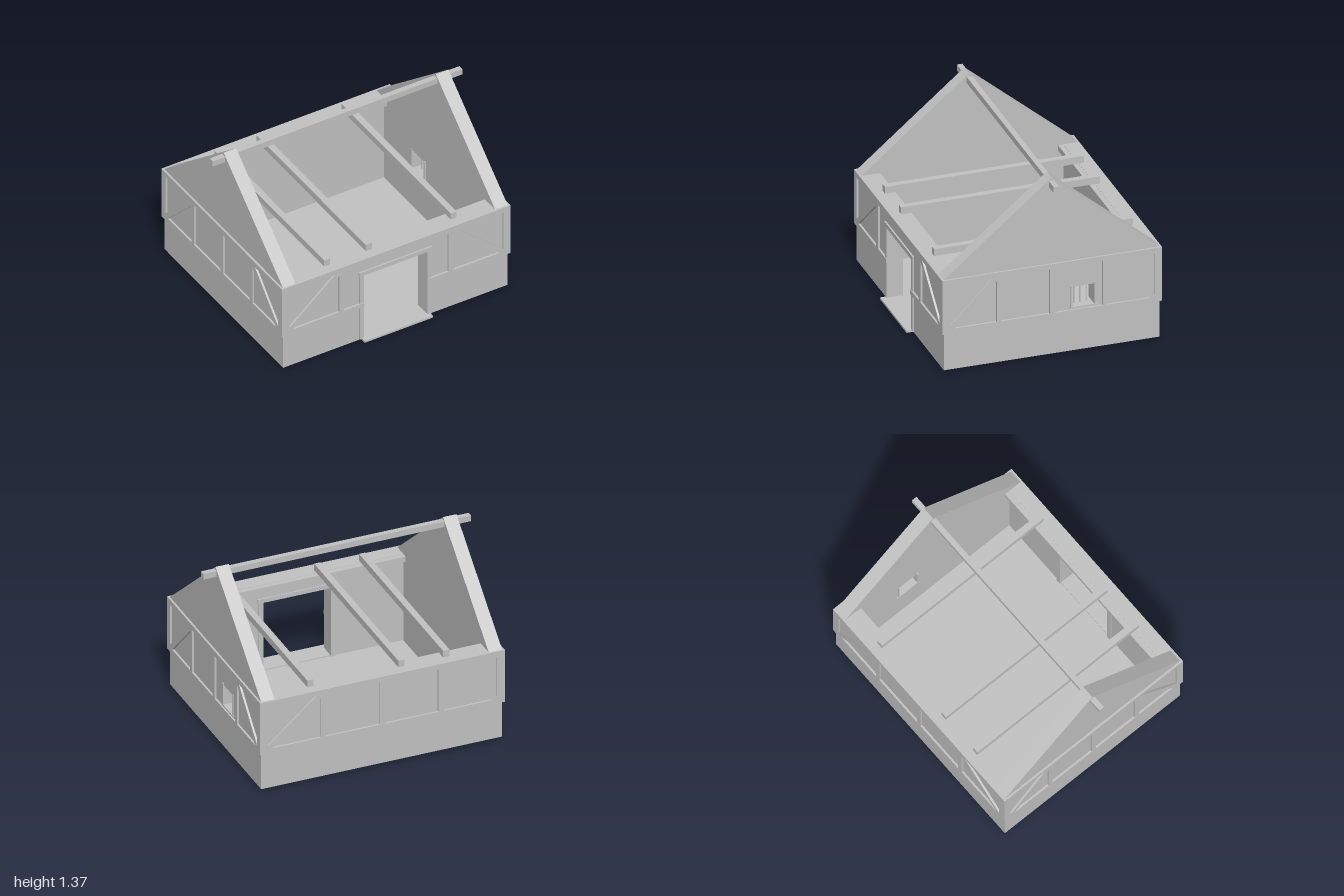
import * as THREE from 'three';

const stone = new THREE.MeshStandardMaterial({ color: 0xc2c2c2 });
stone.name = 'plain grey';

const HX = 0.9, HZ = 0.7825, T = 0.1; // half width, half depth, wall thickness
const EAVE = 0.715, APEX = 1.37, BASE = 0.025;
const LOW = 0.305, SILL = 0.34, HEAD = 0.675; // timber frame levels

const poly = (pts, C = THREE.Shape) => new C(pts.map(([x, y]) => new THREE.Vector2(x, y)));
const rect = (x0, x1, y0, y1) => [[x0, y0], [x1, y0], [x1, y1], [x0, y1]];

export function createModel() {
  const model = new THREE.Group();
  model.name = 'timberFramedHouse';
  const house = new THREE.Group();
  house.name = 'house';
  house.position.z = -0.0175;
  model.add(house);

  function box(name, x0, x1, y0, y1, z0, z1) {
    const m = new THREE.Mesh(new THREE.BoxGeometry(x1 - x0, y1 - y0, z1 - z0), stone);
    m.position.set((x0 + x1) / 2, (y0 + y1) / 2, (z0 + z1) / 2);
    m.name = name;
    house.add(m);
    return m;
  }
  // Extrude an outline outward, from a given distance, on the side turned by angle
  function slab(name, outline, holes, depth, dist, angle) {
    const s = poly(outline);
    holes.forEach((h) => s.holes.push(poly(h, THREE.Path)));
    const g = new THREE.ExtrudeGeometry(s, { depth, bevelEnabled: false });
    g.translate(0, 0, dist);
    g.rotateY(angle);
    const m = new THREE.Mesh(g, stone);
    m.name = name;
    house.add(m);
  }

  // Floor slab
  box('floor', -0.8, 0.8, 0, 0.032, -0.6875, 0.6875);

  // Long walls, with the doorway in front
  slab('frontWall', [[-0.8, BASE], [-0.255, BASE], [-0.255, 0.575], [0.25, 0.575], [0.25, BASE],
    [0.8, BASE], [0.8, EAVE], [-0.8, EAVE]], [], T, HZ - T, 0);
  slab('backWall', rect(-0.8, 0.8, BASE, EAVE), [], T, HZ - T, Math.PI);

  // Gable walls, with a window in the left one
  const gable = [[-HZ, BASE], [HZ, BASE], [HZ, EAVE], [0, APEX], [-HZ, EAVE]];
  const win = [0.1475, 0.3075, 0.36, 0.51];
  slab('leftGable', gable, [rect(...win)], T, HX - T, Math.PI / 2);
  slab('rightGable', gable, [], T, HX - T, -Math.PI / 2);

  // Frame openings: braced end panels (two triangles each) and plain panels
  function braced(outer, inner) {
    const d = Math.sign(outer) * 0.032;
    return [
      [[outer, HEAD], [inner + d, HEAD], [outer, 0.362]],
      [[outer - d, SILL], [inner, SILL], [inner, 0.652]],
    ];
  }
  const longEnds = [...braced(-0.857, -0.458), ...braced(0.857, 0.458)];
  const gableEnds = [...braced(-0.7425, -0.4025), ...braced(0.7425, 0.4025)];
  const pair = (a, b) => [rect(-b, -a, SILL, HEAD), rect(a, b, SILL, HEAD)];
  const F = 0.015, FX = HX + F;

  // Timber frames on the four walls
  slab('frontTimberFrame', [[-FX, LOW], [-0.255, LOW], [-0.255, SILL], [-0.42, SILL], [-0.42, HEAD],
    [0.418, HEAD], [0.418, SILL], [0.25, SILL], [0.25, LOW], [FX, LOW], [FX, EAVE], [-FX, EAVE]],
  longEnds, F, HZ, 0);
  slab('backTimberFrame', rect(-FX, FX, LOW, EAVE), [...longEnds, ...pair(0.0175, 0.418)], F, HZ, Math.PI);
  for (const s of [1, -1]) {
    slab(s > 0 ? 'leftTimberFrame' : 'rightTimberFrame', rect(-HZ, HZ, LOW, EAVE),
      [...gableEnds, ...pair(0.0175, 0.3675)], F, HX, s * Math.PI / 2);
  }

  // Door surround and step
  for (const z of [HZ, HZ - T - 0.01]) {
    box('doorJamb', -0.29, -0.255, 0.032, 0.575, z, z + 0.01);
    box('doorJamb', 0.25, 0.285, 0.032, 0.575, z, z + 0.01);
    box('doorLintel', -0.295, 0.29, 0.575, 0.607, z, z + 0.012);
  }
  box('doorStep', -0.275, 0.272, BASE, 0.04, HZ - T, 0.8325);

  // Window surround and bars
  const [w0, w1, wb, wt] = win;
  for (const [x0, x1] of [[HX, HX + 0.01], [HX - T - 0.01, HX - T]]) {
    box('windowJamb', x0, x1, wb, wt + 0.015, -w0, -w0 + 0.015);
    box('windowJamb', x0, x1, wb, wt + 0.015, -w1 - 0.004, -w1);
    box('windowSill', x0, x1, wb - 0.01, wb, -w1 - 0.02, -w0 + 0.018);
  }
  for (const z of [-0.184, -0.226, -0.268]) box('windowBar', 0.846, 0.854, wb, wt, z - 0.004, z + 0.004);

  // Wall plates along the inside of the long walls
  box('frontWallPlate', -0.8, 0.8, 0.672, 0.713, 0.645, 0.6875);
  box('backWallPlate', -0.8, 0.8, 0.672, 0.713, -0.6875, -0.645);

  // Tie beams across the house and the ridge beam
  for (const x of [-0.51, -0.175, 0.505]) box('tieBeam', x - 0.024, x + 0.024, EAVE, 0.767, -0.722, 0.722);
  box('ridgeBeam', -1, 1, 1.302, 1.347, -0.02, 0.02);

  return model;
}
